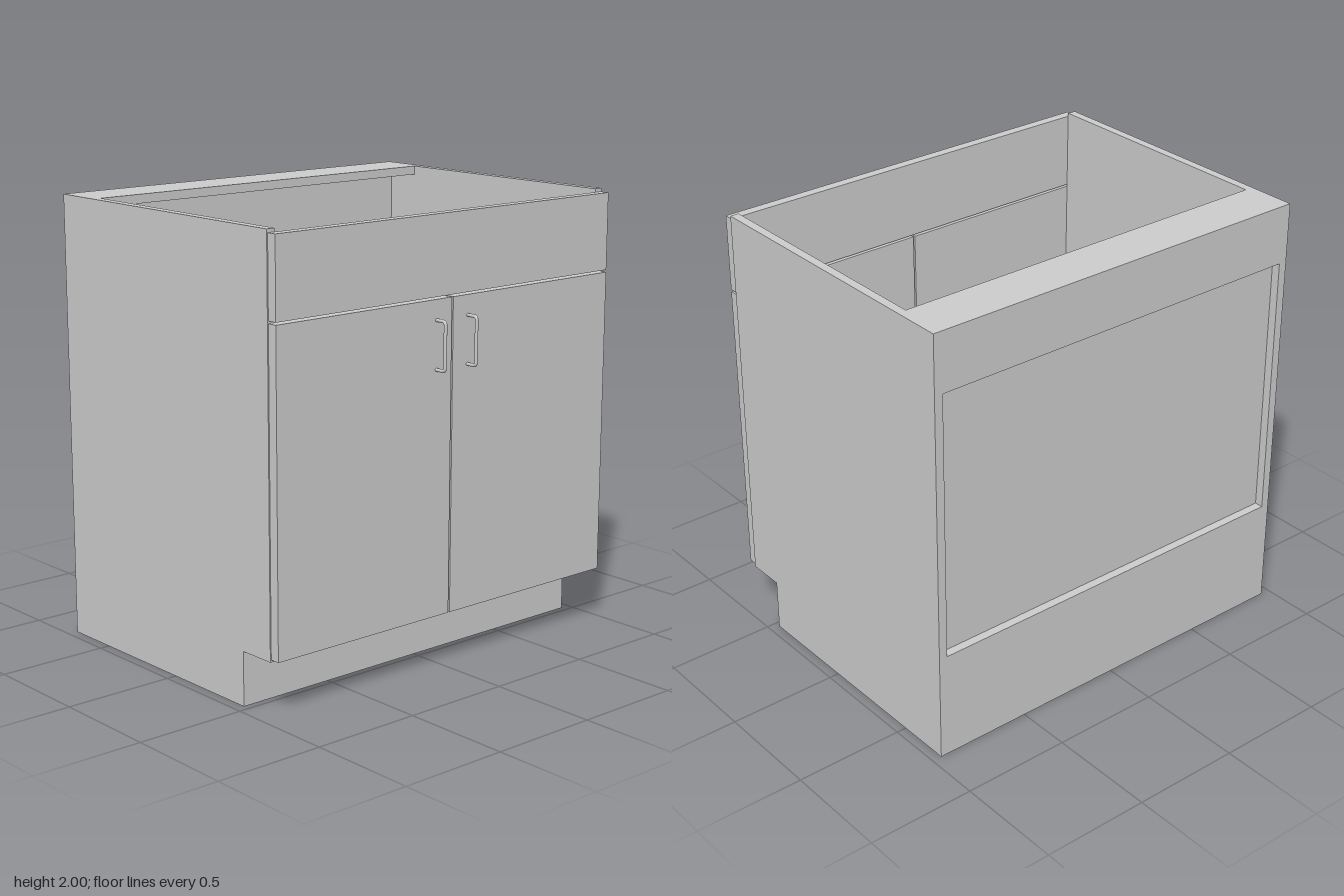
import * as THREE from 'three';

const material = new THREE.MeshStandardMaterial({ color: 0xcccccc });
const HALF = 0.955;      // half width of the cabinet
const T = 0.04;          // board thickness
const BACK = -0.75, FRONT = 0.645, FACE = 0.69;
const KICK_Z = 0.47, KICK_Y = 0.24;

export function createModel() {
  const group = new THREE.Group();

  const add = (name, geometry) => {
    const mesh = new THREE.Mesh(geometry, material);
    mesh.name = name;
    group.add(mesh);
    return mesh;
  };

  // Board given by its limits on each axis
  const board = (name, x0, x1, y0, y1, z0, z1) =>
    add(name, new THREE.BoxGeometry(x1 - x0, y1 - y0, z1 - z0))
      .position.set((x0 + x1) / 2, (y0 + y1) / 2, (z0 + z1) / 2);

  // Side panels with the toe-kick notch
  const profile = new THREE.Shape([
    [BACK, 0], [KICK_Z, 0], [KICK_Z, KICK_Y], [FRONT, KICK_Y], [FRONT, 2], [BACK, 2],
  ].map(([z, y]) => new THREE.Vector2(z, y)));
  const sideGeometry = new THREE.ExtrudeGeometry(profile, { depth: T, bevelEnabled: false });
  sideGeometry.rotateY(-Math.PI / 2);
  add('leftSidePanel', sideGeometry).position.x = HALF;
  add('rightSidePanel', sideGeometry).position.x = -HALF + T;

  // Carcass: plinth, floor, back panel, back rails and top stretcher
  const inner = HALF - T;
  board('plinth', -inner, inner, 0, KICK_Y, BACK, KICK_Z);
  board('floorPanel', -inner, inner, KICK_Y, KICK_Y + T, BACK + T, FRONT);
  board('backPanel', -inner, inner, KICK_Y + T, 2 - T, -0.71, -0.69);
  board('lowerBackRail', -inner, inner, KICK_Y, 0.5, BACK, -0.71);
  board('upperBackRail', -inner, inner, 1.73, 2 - T, BACK, -0.71);
  board('topStretcher', -inner, inner, 2 - T, 2, BACK, -0.525);

  // False drawer front across the top
  board('drawerFront', -0.95, 0.95, 1.64, 1.985, FRONT, FACE);

  // Handle: bent bar standing off the door
  const r = 0.0075, out = 0.75 - r, low = 1.325 + r, high = 1.55 - r, bend = 0.015;
  const v = (y, z) => new THREE.Vector3(0, y, z);
  const path = new THREE.CurvePath();
  path.add(new THREE.LineCurve3(v(low, FACE - 0.005), v(low, out - bend)));
  path.add(new THREE.QuadraticBezierCurve3(v(low, out - bend), v(low, out), v(low + bend, out)));
  path.add(new THREE.LineCurve3(v(low + bend, out), v(high - bend, out)));
  path.add(new THREE.QuadraticBezierCurve3(v(high - bend, out), v(high, out), v(high, out - bend)));
  path.add(new THREE.LineCurve3(v(high, out - bend), v(high, FACE - 0.005)));
  const handleGeometry = new THREE.TubeGeometry(path, 80, r, 12);

  // Pair of doors with handles near the centre gap
  for (const [side, s] of [['left', 1], ['right', -1]]) {
    const x0 = s > 0 ? 0.004 : -0.95;
    board(side + 'Door', x0, x0 + 0.946, 0.25, 1.63, FRONT, FACE);
    add(side + 'Handle', handleGeometry).position.x = s * 0.09;
  }

  return group;
}
